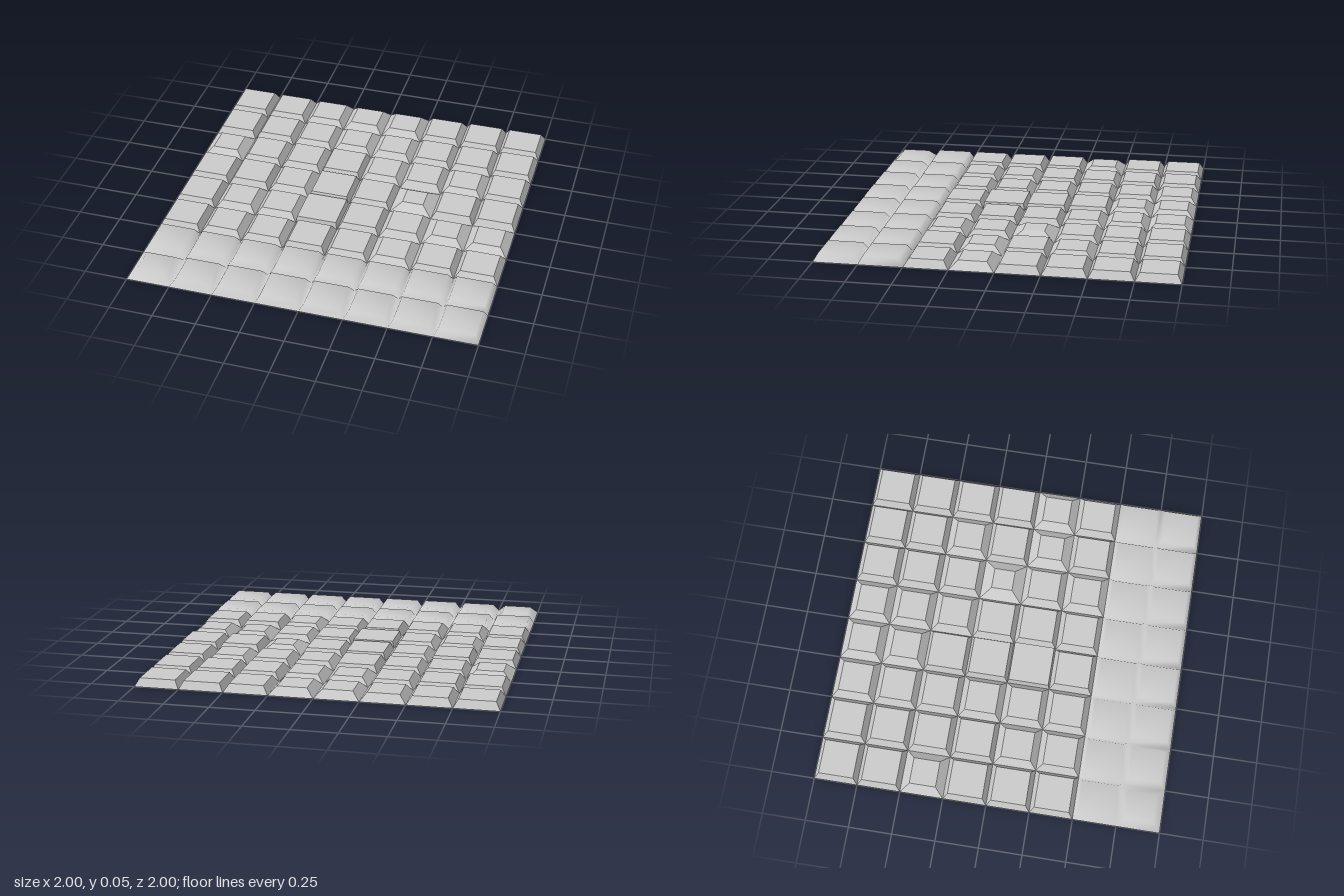
import * as THREE from 'three';
import { mergeVertices } from 'three/addons/utils/BufferGeometryUtils.js';

const TILE = 0.25, HEIGHT = 0.045;

// Bevel width of every tile in thousandths, back row first
const BEVELS = [
  [25, 29, 36, 42, 42, 30, 25, 25],
  [25, 28, 32, 44, 40, 30, 28, 25],
  [49, 30, 31, 21, 38, 33, 42, 27],
  [25, 25, 35, 17, 27, 63, 25, 25],
  [25, 39, 35, 8, 25, 36, 52, 46],
  [25, 35, 33, 25, 30, 42, 28, 30],
  [25, 27, 30, 25, 27, 27, 25, 25],
  [45, 32, 27, 25, 27, 27, 25, 25],
];

// Open-bottomed pyramid frustum: flat top and four sloping sides
function addTile(positions, col, row) {
  const x = -1 + col * TILE, z = -1 + row * TILE;
  const b = BEVELS[row][col] / 1000;
  const ring = (inset, y) => [
    [x + inset, y, z + inset],
    [x + inset, y, z + TILE - inset],
    [x + TILE - inset, y, z + TILE - inset],
    [x + TILE - inset, y, z + inset],
  ];
  const base = ring(0, 0), top = ring(b, HEIGHT);
  const quad = (p, q, r, s) => positions.push(...p, ...q, ...r, ...p, ...r, ...s);
  quad(...top);
  for (let i = 0; i < 4; i++) {
    const j = (i + 1) % 4;
    quad(base[i], base[j], top[j], top[i]);
  }
}

// A block of tile rows, either faceted or softly shaded
function tileRows(name, first, last, smooth) {
  const positions = [];
  for (let row = first; row <= last; row++)
    for (let col = 0; col < 8; col++) addTile(positions, col, row);
  let geometry = new THREE.BufferGeometry();
  geometry.setAttribute('position', new THREE.Float32BufferAttribute(positions, 3));
  if (smooth) geometry = mergeVertices(geometry, 1e-4);
  geometry.computeVertexNormals();
  const material = new THREE.MeshStandardMaterial({
    color: 0xcccccc, side: THREE.DoubleSide, flatShading: !smooth,
  });
  const mesh = new THREE.Mesh(geometry, material);
  mesh.name = name;
  return mesh;
}

export function createModel() {
  const group = new THREE.Group();
  group.name = 'bevelledTilePanel';
  group.add(tileRows('facetedTiles', 0, 5, false));
  group.add(tileRows('softTiles', 6, 7, true));
  return group;
}
